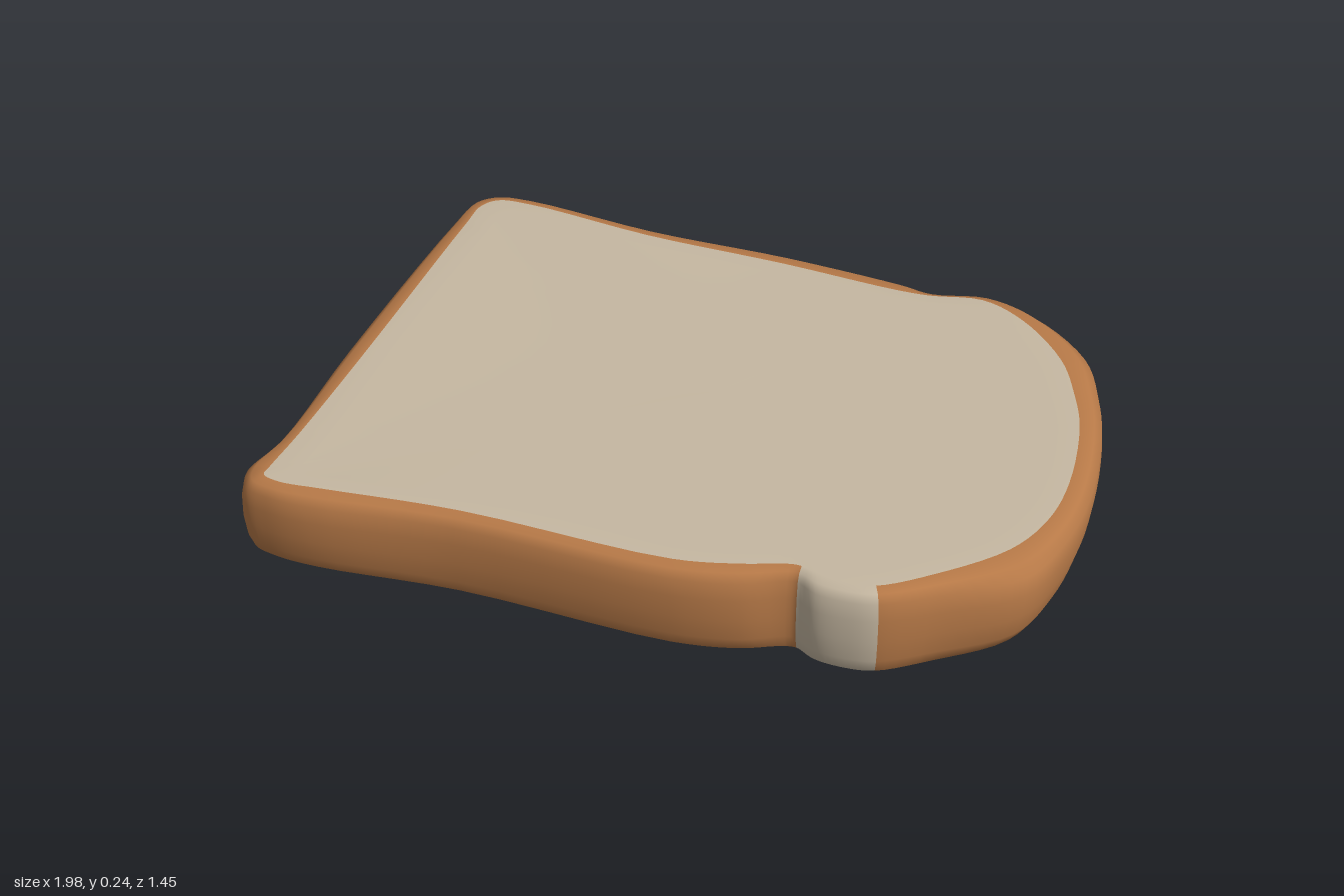
import * as THREE from 'three';

const STEPS = 5; // samples between outline points
const PATCH = [8, 11]; // outline span where the crust has torn away

// Paired points, anticlockwise seen from above: crust x, z, then crumb edge x, z
const OUTLINE = [
  [-1.0, 0.62, -0.925, 0.62], [-0.97, 0.69, -0.925, 0.65], [-0.9, 0.712, -0.88, 0.665],
  [-0.78, 0.72, -0.77, 0.66], [-0.42, 0.685, -0.42, 0.635], [0.12, 0.69, 0.11, 0.64],
  [0.28, 0.66, 0.26, 0.61], [0.375, 0.615, 0.375, 0.575], [0.4, 0.612, 0.4, 0.575],
  [0.45, 0.64, 0.45, 0.59], [0.53, 0.645, 0.52, 0.6], [0.6, 0.632, 0.58, 0.59],
  [0.73, 0.56, 0.69, 0.515], [0.91, 0.44, 0.84, 0.37], [0.97, 0.29, 0.9, 0.24],
  [0.995, 0.1, 0.92, 0.09], [0.975, -0.15, 0.9, -0.14], [0.94, -0.3, 0.86, -0.27],
  [0.87, -0.47, 0.8, -0.4], [0.7, -0.61, 0.67, -0.54], [0.56, -0.642, 0.55, -0.6],
  [0.41, -0.613, 0.41, -0.58], [0.32, -0.65, 0.32, -0.58], [0, -0.685, 0, -0.61],
  [-0.4, -0.682, -0.4, -0.625], [-0.78, -0.725, -0.77, -0.675], [-0.88, -0.715, -0.86, -0.67],
  [-0.94, -0.67, -0.895, -0.63], [-0.957, -0.55, -0.9, -0.53], [-0.975, 0.1, -0.905, 0.1],
  [-0.97, 0.5, -0.915, 0.48],
];

// Cross-section from bottom centre round the side to top centre:
// inset toward the crumb edge, height fraction, scale about the centre
const SECTION = [
  [1, 0.02, 0], [1, 0.01, 0.5], [1, 0, 0.9], [0.55, 0, 1], [0.25, 0.05, 1], [0.07, 0.2, 1],
  [0, 0.45, 1], [0.05, 0.7, 1], [0.2, 0.89, 1], [0.5, 0.975, 1], [1, 1, 1],
  [1, 0.995, 0.92], [1, 0.985, 0.5], [1, 0.98, 0],
];
const CRUST_START = 3;
const CRUST_END = 10;

function loopCurve(ix, iz) {
  const points = OUTLINE.map((p) => new THREE.Vector3(p[ix], 0, p[iz]));
  return new THREE.CatmullRomCurve3(points, true, 'centripetal');
}

function place(p, t, scale) {
  const x = p.x * scale;
  const z = p.z * scale;
  const low = 0.015 * THREE.MathUtils.clamp((0.3 - x) / 1.3, 0, 1);
  const high = 0.238 + 0.005 * x + 0.003 * Math.sin(5 * x + 1) * Math.cos(4 * z);
  // the rounded end leans outward toward the top
  const lean = 0.04 * (1 - t) * Math.max(0, (x - 0.6) / 0.4);
  return [x - lean, THREE.MathUtils.lerp(low, high, t), z];
}

export function createModel() {
  const crustMaterial = new THREE.MeshStandardMaterial({ color: 0xb87a48 });
  crustMaterial.name = 'toasted crust';
  const crumbMaterial = new THREE.MeshStandardMaterial({ color: 0xc6b8a2 });
  crumbMaterial.name = 'pale crumb';

  const count = OUTLINE.length * STEPS;
  const outer = loopCurve(0, 1);
  const inner = loopCurve(2, 3);
  const positions = [];
  for (const [inset, t, scale] of SECTION) {
    for (let i = 0; i < count; i++) {
      const p = outer.getPoint(i / count).lerp(inner.getPoint(i / count), inset);
      positions.push(...place(p, t, scale));
    }
  }

  // Sort the skin into its parts
  const parts = { bottomCrumb: [], crust: [], tornCrustPatch: [], topCrumb: [] };
  for (let r = 0; r < SECTION.length - 1; r++) {
    for (let i = 0; i < count; i++) {
      const torn = i >= PATCH[0] * STEPS && i < PATCH[1] * STEPS;
      let part = torn ? 'tornCrustPatch' : 'crust';
      if (r < CRUST_START) part = 'bottomCrumb';
      if (r >= CRUST_END) part = 'topCrumb';
      const j = (i + 1) % count;
      const a = r * count + i;
      const b = r * count + j;
      const c = b + count;
      const d = a + count;
      // rings shrunk to the centre need one triangle per step
      if (SECTION[r][2] > 0) parts[part].push(a, b, d);
      if (SECTION[r + 1][2] > 0) parts[part].push(b, c, d);
    }
  }

  // Normals are worked out on the whole skin so the seams stay smooth
  const skin = new THREE.BufferGeometry();
  skin.setAttribute('position', new THREE.Float32BufferAttribute(positions, 3));
  skin.setIndex(Object.values(parts).flat());
  skin.computeVertexNormals();

  const slice = new THREE.Group();
  slice.name = 'breadSlice';
  for (const [name, index] of Object.entries(parts)) {
    const geometry = skin.clone();
    geometry.setIndex(index);
    const mesh = new THREE.Mesh(geometry, name === 'crust' ? crustMaterial : crumbMaterial);
    mesh.name = name;
    slice.add(mesh);
  }
  return slice;
}
